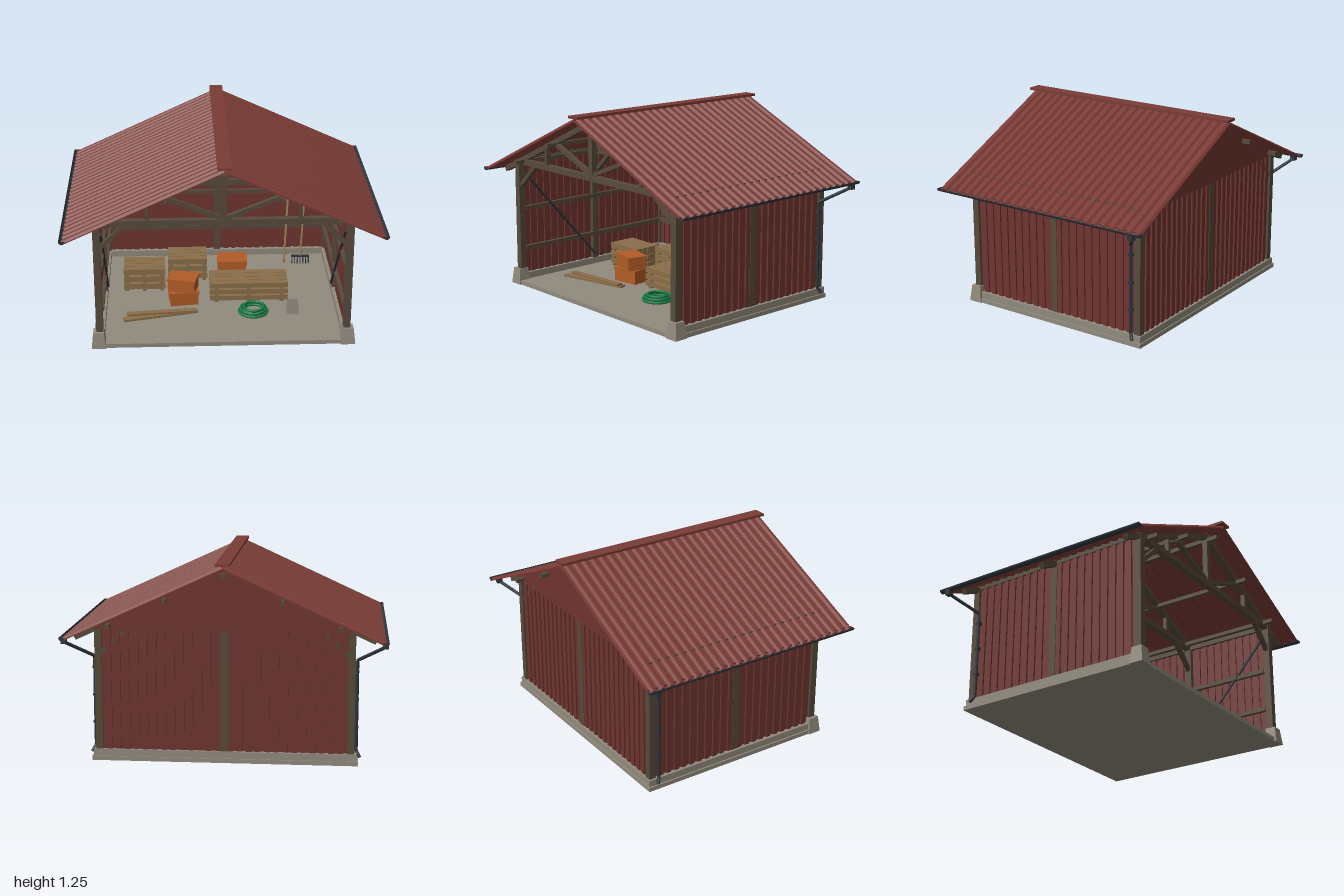
import * as THREE from 'three';

const mat = (name, color) => Object.assign(new THREE.MeshStandardMaterial({ color }), { name });
const M = {
  roof: mat('roof red', 0x7a3b35),
  wall: mat('board red', 0x6f3530),
  timber: mat('dark timber', 0x564a3b),
  concrete: mat('concrete', 0x918a7d),
  steel: mat('dark steel', 0x2f353c),
  lumber: mat('lumber', 0x8a6e49),
  crate: mat('crate orange', 0xb25c26),
  hose: mat('hose green', 0x167a42),
};
M.steel.side = THREE.DoubleSide;

const SLOPE = 0.459, RIDGE = 1.232;
const roofY = (x) => RIDGE - SLOPE * Math.abs(x);

function add(parent, name, geo, material, x = 0, y = 0, z = 0) {
  const m = new THREE.Mesh(geo, material);
  m.name = name;
  m.position.set(x, y, z);
  parent.add(m);
  return m;
}
const box = (p, name, material, w, h, d, x, y, z) =>
  add(p, name, new THREE.BoxGeometry(w, h, d), material, x, y, z);

// square-cut bar between two points
function beam(p, name, material, a, b, w, h = w) {
  const A = new THREE.Vector3(...a), B = new THREE.Vector3(...b);
  const m = box(p, name, material, w, h, A.distanceTo(B), 0, 0, 0);
  m.position.copy(A).add(B).multiplyScalar(0.5);
  m.lookAt(B);
  return m;
}

function group(parent, name) {
  const g = new THREE.Group();
  g.name = name;
  parent.add(g);
  return g;
}

// tapered concrete block
function taperBlock(p, name, top, base, h, x, y, z) {
  const geo = new THREE.CylinderGeometry(top * Math.SQRT2, base * Math.SQRT2, h, 4).toNonIndexed();
  geo.rotateY(Math.PI / 4);
  geo.computeVertexNormals();
  return add(p, name, geo, M.concrete, x, y + h / 2, z);
}

// board-on-board wall facing local +z, its outer face d from the centre
function boardWall(root, name, half, d, pitches, angle) {
  const g = group(root, name);
  const p = (half - 0.025) / pitches;
  for (const s of [-1, 1]) for (let i = 0; i < pitches; i++) {
    const u = 0.025 + (i + 0.25) * p;
    box(g, 'outerBoard', M.wall, p * 0.56, 0.765, 0.011, s * u, 0.4525, d - 0.009);
    box(g, 'innerBoard', M.wall, p * 0.62, 0.765, 0.010, s * (u + p / 2), 0.4525, d - 0.0195);
  }
  box(g, 'middlePost', M.timber, 0.046, 0.78, 0.042, 0, 0.46, d - 0.021);
  for (const y of [0.247, 0.522])
    box(g, 'rail', M.timber, half * 2, 0.027, 0.025, 0, y, d - 0.037);
  g.rotation.y = angle;
}

// corrugated sheet on one roof slope
function roofSheet(root, name, side) {
  const ribs = 25, w = 0.765, pitch = 2 * w / ribs, t = 0.006;
  const line = [];
  for (let i = 0; i < ribs; i++) {
    const z = -w + i * pitch;
    line.push([z, 0], [z + pitch * 0.3, 0], [z + pitch * 0.5, 0.014], [z + pitch * 0.8, 0.014]);
  }
  line.push([w, 0]);
  const pts = [...line, ...line.map(([z, y]) => [z, y - t]).reverse()];
  const shape = new THREE.Shape(pts.map(([z, y]) => new THREE.Vector2(z, y)));
  const len = Math.hypot(0.975, 0.975 * SLOPE);
  const geo = new THREE.ExtrudeGeometry(shape, { depth: len, bevelEnabled: false });
  geo.rotateY(side * Math.PI / 2);
  const m = add(root, name, geo, M.roof, 0, RIDGE - 0.006, 0);
  m.rotation.z = -side * Math.atan(SLOPE);
}

// roof truss at a given depth
function truss(root, z) {
  const g = group(root, 'truss');
  box(g, 'tieBeam', M.timber, 1.6, 0.036, 0.04, 0, 0.848, z);
  box(g, 'kingPost', M.timber, 0.037, 0.33, 0.036, 0, 1.03, z);
  for (const s of [-1, 1]) {
    beam(g, 'rafter', M.timber, [0, RIDGE - 0.034, z], [s * 0.925, roofY(0.925) - 0.034, z], 0.038, 0.034);
    beam(g, 'strut', M.timber, [0, 0.865, z], [s * 0.36, 1.01, z], 0.03, 0.026);
    box(g, 'webPost', M.timber, 0.022, 0.12, 0.03, s * 0.47, 0.92, z);
    beam(g, 'kneeBrace', M.timber, [s * 0.775, 0.67, z], [s * 0.59, 0.845, z], 0.03, 0.026);
  }
}

// stickered lumber pile, y is its bottom
function plankStack(root, w, d, layers, h, x, z) {
  const g = group(root, 'plankStack'), step = h / layers, n = 4;
  for (let i = 0; i < layers; i++) {
    const y = 0.027 + i * step;
    for (const u of [-0.42, 0, 0.42]) box(g, 'spacer', M.lumber, 0.025, step * 0.28, d * 0.96, u * w, y + step * 0.14, 0);
    for (let j = 0; j < n; j++)
      box(g, 'plank', M.lumber, w, step * 0.72, d / n - 0.004, 0, y + step * 0.64, (j - (n - 1) / 2) * d / n);
  }
  g.position.set(x, 0, z);
}

function crate(root, w, h, d, x, y, z, turn) {
  const g = group(root, 'crate');
  box(g, 'crateBody', M.crate, w, h * 0.8, d, 0, h * 0.4, 0);
  box(g, 'crateLid', M.crate, w + 0.012, h * 0.2, d + 0.012, 0, h * 0.9, 0);
  g.position.set(x, y, z);
  g.rotation.y = turn;
}

// gutter, hopper and downpipe of one side
function drainage(root, s) {
  const g = group(root, s > 0 ? 'leftDrainage' : 'rightDrainage');
  const gutter = new THREE.CylinderGeometry(0.02, 0.02, 1.53, 10, 1, true, -Math.PI / 2, Math.PI);
  gutter.rotateX(Math.PI / 2);
  add(g, 'gutter', gutter, M.steel, s * 0.979, 0.791, 0);
  for (const e of [-1, 1]) {
    const cap = new THREE.CircleGeometry(0.02, 10, Math.PI, Math.PI);
    add(g, 'gutterEnd', cap, M.steel, s * 0.979, 0.791, e * 0.765);
  }
  box(g, 'hopper', M.steel, 0.034, 0.034, 0.036, s * 0.979, 0.762, -0.703);
  const path = new THREE.CurvePath();
  const p = [[0.975, 0.755, -0.703], [0.813, 0.65, -0.587], [0.813, 0.08, -0.587], [0.835, 0.042, -0.608]]
    .map(([x, y, z]) => new THREE.Vector3(s * x, y, z));
  for (let i = 0; i < 3; i++) path.add(new THREE.LineCurve3(p[i], p[i + 1]));
  add(g, 'downpipe', new THREE.TubeGeometry(path, 60, 0.0105, 8), M.steel);
  for (const y of [0.23, 0.405, 0.58]) box(g, 'pipeClip', M.steel, 0.034, 0.014, 0.028, s * 0.809, y, -0.587);
}

export function createModel() {
  const root = new THREE.Group();
  root.name = 'openShed';

  // foundation
  box(root, 'slab', M.concrete, 1.65, 0.027, 1.325, 0, 0.0135, 0);
  box(root, 'backPlinth', M.concrete, 1.63, 0.045, 0.06, 0, 0.0475, -0.625);
  for (const s of [-1, 1]) {
    box(root, 'sidePlinth', M.concrete, 0.06, 0.045, 1.25, s * 0.785, 0.0475, -0.03);
    taperBlock(root, 'footing', 0.034, 0.046, 0.106, s * 0.788, 0, 0.628);
  }

  // frame
  for (const s of [-1, 1]) {
    for (const z of [-0.624, 0.624])
      box(root, 'cornerPost', M.timber, 0.044, 0.8, 0.044, s * 0.78, 0.46, z);
    box(root, 'wallPlate', M.timber, 0.04, 0.036, 1.29, s * 0.78, 0.848, 0);
    beam(root, 'diagonalBrace', M.steel, [s * 0.752, 0.1, 0.01], [s * 0.752, 0.76, 0.6], 0.012);
    for (const x of [0.36, 0.71])
      box(root, 'purlin', M.timber, 0.026, 0.026, 1.42, s * x, roofY(x) - 0.052, 0);
  }
  box(root, 'ridgeBeam', M.timber, 0.028, 0.028, 1.42, 0, 1.17, 0);
  for (const z of [-0.622, 0, 0.622]) truss(root, z);

  // walls and back gable
  boardWall(root, 'leftWall', 0.602, 0.8, 10, Math.PI / 2);
  boardWall(root, 'rightWall', 0.602, 0.8, 10, -Math.PI / 2);
  boardWall(root, 'backWall', 0.758, 0.645, 13, Math.PI);
  const tri = new THREE.Shape([[-0.8, 0.83], [0.8, 0.83], [0.8, 0.85], [0, 1.218], [-0.8, 0.85]]
    .map(([x, y]) => new THREE.Vector2(x, y)));
  add(root, 'backGable', new THREE.ExtrudeGeometry(tri, { depth: 0.01, bevelEnabled: false }), M.wall, 0, 0, -0.654);

  // roof
  roofSheet(root, 'leftRoof', 1);
  roofSheet(root, 'rightRoof', -1);
  box(root, 'ridgeCap', M.roof, 0.088, 0.016, 1.545, 0, 1.246, 0);
  for (const s of [-1, 1]) drainage(root, s);

  // stored lumber and crates
  plankStack(root, 0.28, 0.2, 3, 0.163, -0.51, -0.15);
  plankStack(root, 0.27, 0.2, 3, 0.163, -0.215, -0.3);
  plankStack(root, 0.52, 0.21, 3, 0.138, 0.19, 0.025);
  crate(root, 0.185, 0.095, 0.13, -0.248, 0.027, 0.1, 0.12);
  crate(root, 0.18, 0.092, 0.13, -0.248, 0.122, 0.1, -0.25);
  crate(root, 0.19, 0.175, 0.14, 0.09, 0.027, -0.2, 0);
  beam(root, 'loosePlank', M.lumber, [-0.64, 0.034, 0.36], [-0.16, 0.034, 0.25], 0.045, 0.014);
  beam(root, 'loosePlank', M.lumber, [-0.62, 0.048, 0.31], [-0.17, 0.048, 0.27], 0.04, 0.014);
  taperBlock(root, 'spareBlock', 0.03, 0.04, 0.105, 0.47, 0.027, 0.27);

  // coiled hose
  [[0.092, 0.037], [0.075, 0.04], [0.083, 0.054], [0.066, 0.068]].forEach(([r, y], i) => {
    const coil = new THREE.TorusGeometry(r, 0.0095, 8, 32).rotateX(Math.PI / 2);
    add(root, 'hoseCoil', coil, M.hose, 0.21 + 0.004 * (i % 2), y, 0.27);
  });

  // leaning tools
  beam(root, 'poleHandle', M.lumber, [0.47, 0.03, -0.44], [0.505, 0.52, -0.575], 0.014);
  beam(root, 'rakeHandle', M.lumber, [0.587, 0.08, -0.45], [0.625, 0.535, -0.575], 0.012);
  box(root, 'rakeBar', M.steel, 0.125, 0.012, 0.014, 0.587, 0.08, -0.45);
  for (let i = 0; i < 7; i++)
    beam(root, 'rakeTine', M.steel, [0.53 + i * 0.019, 0.08, -0.45], [0.527 + i * 0.02, 0.03, -0.43], 0.008);

  return root;
}
